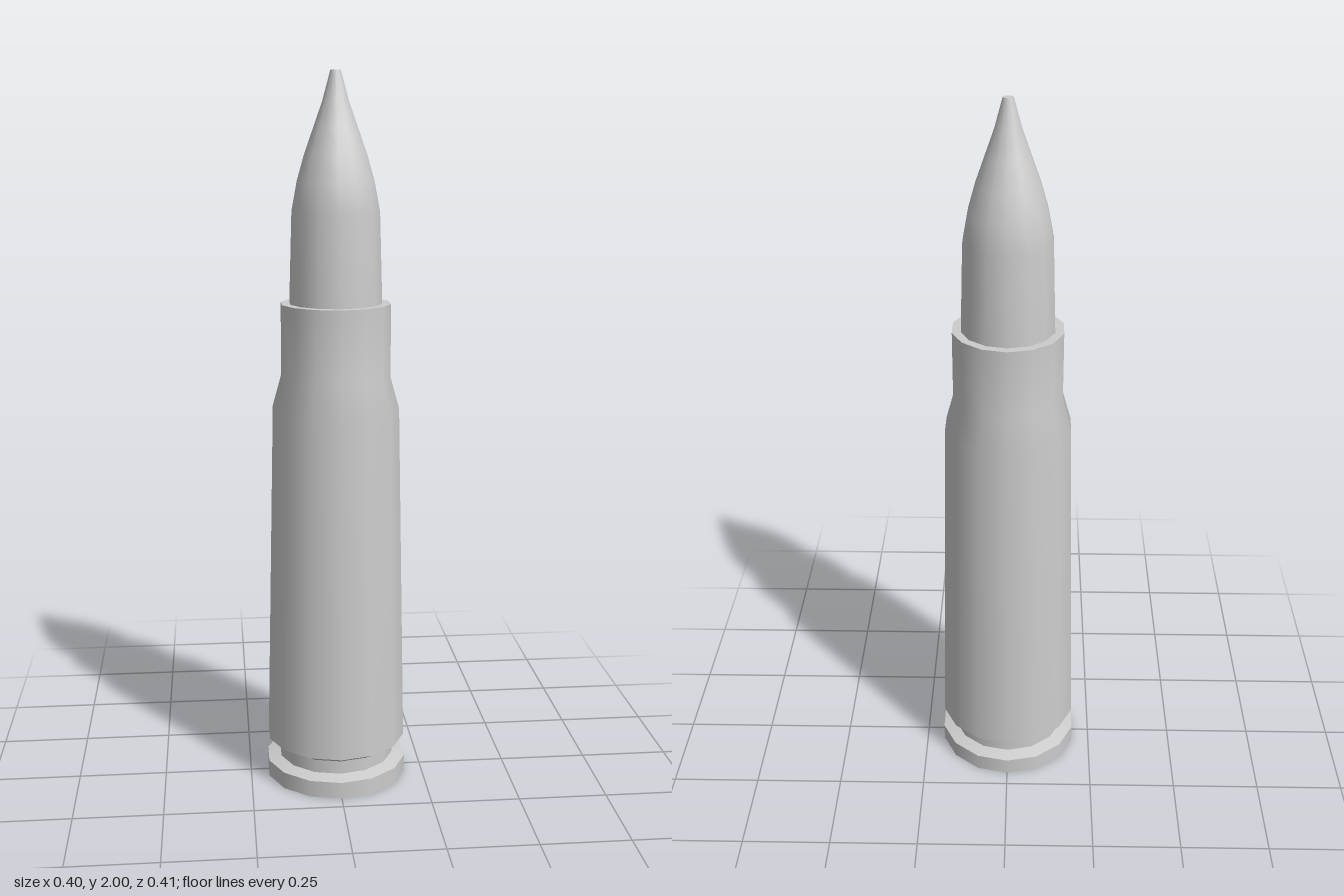
import * as THREE from 'three';

const SIDES = 14;

export function createModel() {
  const model = new THREE.Group();
  model.name = 'cartridge';
  const metal = new THREE.MeshStandardMaterial({ color: 0xcccccc });
  metal.name = 'grey metal';

  // One smooth band of revolution; separate bands keep the edges between them sharp
  const band = (parent, name, ...points) => {
    const profile = points.map(([r, y]) => new THREE.Vector2(r, y));
    const mesh = new THREE.Mesh(new THREE.LatheGeometry(profile, SIDES), metal);
    mesh.name = name;
    parent.add(mesh);
  };
  const part = (name) => {
    const group = new THREE.Group();
    group.name = name;
    model.add(group);
    return group;
  };

  // Flat base, rim and extractor groove
  const head = part('caseHead');
  band(head, 'baseFace', [0, 0], [0.203, 0]);
  band(head, 'rim', [0.203, 0], [0.203, 0.048]);
  band(head, 'rimTop', [0.203, 0.048], [0.166, 0.058]);
  band(head, 'extractorGroove', [0.166, 0.058], [0.166, 0.096]);
  band(head, 'grooveChamfer', [0.166, 0.096], [0.2, 0.116]);

  // Tapered body, shoulder and neck
  const shell = part('case');
  band(shell, 'body', [0.2, 0.116], [0.178, 1.09], [0.153, 1.18], [0.153, 1.382]);
  band(shell, 'mouth', [0.153, 1.382], [0.128, 1.382]);

  // Pointed bullet with a blunt tip
  const bullet = part('bullet');
  band(bullet, 'ogive', [0.129, 1.37], [0.121, 1.63], [0.106, 1.71], [0.086, 1.78],
    [0.061, 1.85], [0.036, 1.92], [0.014, 2]);
  band(bullet, 'tip', [0.014, 2], [0, 2]);

  return model;
}
